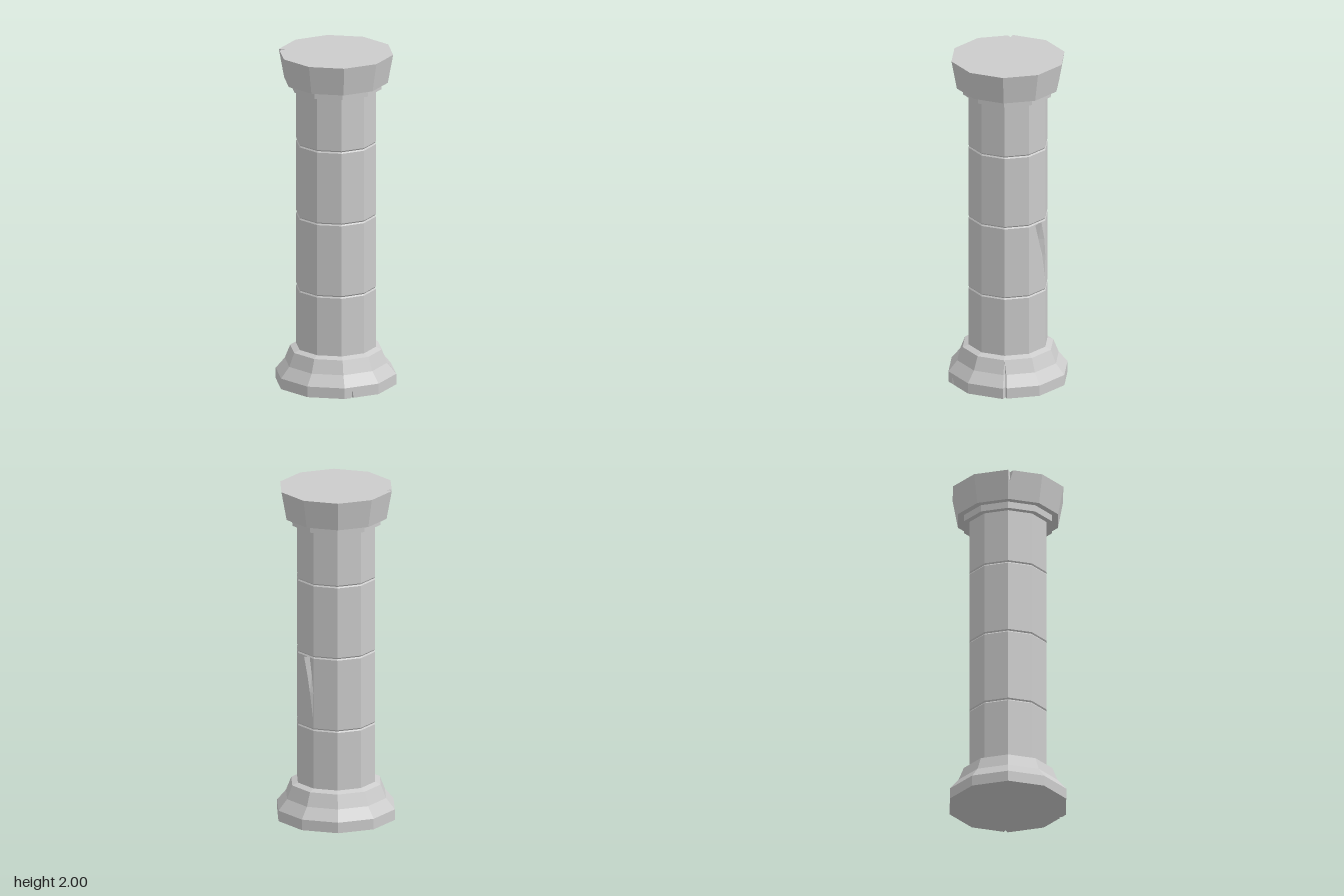
import * as THREE from 'three';

const SIDES = 10, STEP = 360 / SIDES;

// Piecewise-linear lookup in rows [y, a, b, ...]
function sample(rows, y) {
  if (y <= rows[0][0]) return rows[0].slice(1);
  for (let i = 1; i < rows.length; i++) {
    const p = rows[i - 1], q = rows[i];
    if (y <= q[0]) {
      const t = (y - p[0]) / (q[0] - p[0]);
      return p.slice(1).map((v, k) => v + (q[k + 1] - v) * t);
    }
  }
  return rows[rows.length - 1].slice(1);
}

// Closed ten-sided solid from a profile [y, radius].
// Each chip is a list of rows [y, fromAngle, deepAngle, toAngle, depth].
function stoneBlock(name, profile, chips, material) {
  const low = profile[0][0], high = profile[profile.length - 1][0];
  const ys = [...new Set([...profile, ...chips.flat()].map((row) => row[0]))]
    .filter((y) => y >= low && y <= high).sort((a, b) => a - b);

  const columns = [];
  for (let i = 0; i < SIDES; i++) columns.push({ order: i * STEP, at: () => [i * STEP, 0] });
  for (const chip of chips) {
    for (let k = 0; k < 3; k++) {
      columns.push({
        order: chip[0][k + 1],
        at: (y) => { const s = sample(chip, y); return [s[k], k === 1 ? s[3] : 0]; },
      });
    }
  }
  columns.sort((a, b) => a.order - b.order);

  const rings = ys.map((y) => columns.map((column) => {
    const [angle, depth] = column.at(y);
    const a = THREE.MathUtils.degToRad(angle);
    const local = THREE.MathUtils.degToRad((angle % STEP) - STEP / 2);
    const r = sample(profile, y)[0] * Math.cos(Math.PI / SIDES) / Math.cos(local) - depth;
    return new THREE.Vector3(r * Math.cos(a), y, r * Math.sin(a));
  }));

  const positions = [];
  const triangle = (a, b, c) => {
    const area = b.clone().sub(a).cross(c.clone().sub(a)).length();
    if (area > 1e-8) for (const p of [a, b, c]) positions.push(p.x, p.y, p.z);
  };
  const n = columns.length;
  const bottom = new THREE.Vector3(0, low, 0), top = new THREE.Vector3(0, high, 0);
  const first = rings[0], last = rings[rings.length - 1];
  for (let i = 0; i < n; i++) {
    const j = (i + 1) % n;
    for (let k = 0; k + 1 < rings.length; k++) {
      const p = rings[k], q = rings[k + 1];
      triangle(p[i], q[i], p[j]);
      triangle(p[j], q[i], q[j]);
    }
    triangle(bottom, first[i], first[j]);
    triangle(top, last[j], last[i]);
  }
  const geometry = new THREE.BufferGeometry();
  geometry.setAttribute('position', new THREE.Float32BufferAttribute(positions, 3));
  geometry.computeVertexNormals();
  const mesh = new THREE.Mesh(geometry, material);
  mesh.name = name;
  return mesh;
}

export function createModel() {
  const group = new THREE.Group();
  group.name = 'column';
  const stone = new THREE.MeshStandardMaterial({ color: 0xcccccc, flatShading: true });

  // Flared base with a long side crack and a small nick at the foot
  const sideCrack = [
    [0, 356.3, 357.6, 360, 0.022], [0.064, 356.3, 357.6, 360, 0.022],
    [0.128, 357, 358.3, 360, 0.015], [0.208, 359.4, 359.7, 360, 0],
  ];
  const footNick = [[0, 62.8, 64, 65.2, 0.015], [0.05, 63.9, 64, 64.1, 0]];
  group.add(stoneBlock('base',
    [[0, 0.355], [0.064, 0.355], [0.128, 0.302], [0.208, 0.27], [0.222, 0.235]],
    [footNick, sideCrack], stone));

  // Shaft of four drums separated by shallow joints
  const shaftProfile = [[0.215, 0.235]];
  for (const y of [0.58, 1.02, 1.46]) {
    shaftProfile.push([y - 0.008, 0.235], [y, 0.229], [y + 0.008, 0.235]);
  }
  shaftProfile.push([1.795, 0.235]);
  const shaftChip = [
    [0.65, 288, 288.5, 289, 0], [0.8, 288, 291, 296, 0.012],
    [0.9, 290, 297, 302, 0.02], [1.005, 296, 303, 310, 0.028], [1.012, 296, 303, 310, 0],
  ];
  group.add(stoneBlock('shaft', shaftProfile, [shaftChip], stone));

  // Neck ring under the capital
  group.add(stoneBlock('neck', [[1.788, 0.268], [1.832, 0.268]], [], stone));

  // Flared capital with a chipped top corner
  const cornerChip = [[1.93, 178, 178.5, 179, 0], [2, 175, 178, 180, 0.034]];
  group.add(stoneBlock('capital', [[1.828, 0.305], [2, 0.337]], [cornerChip], stone));

  return group;
}
